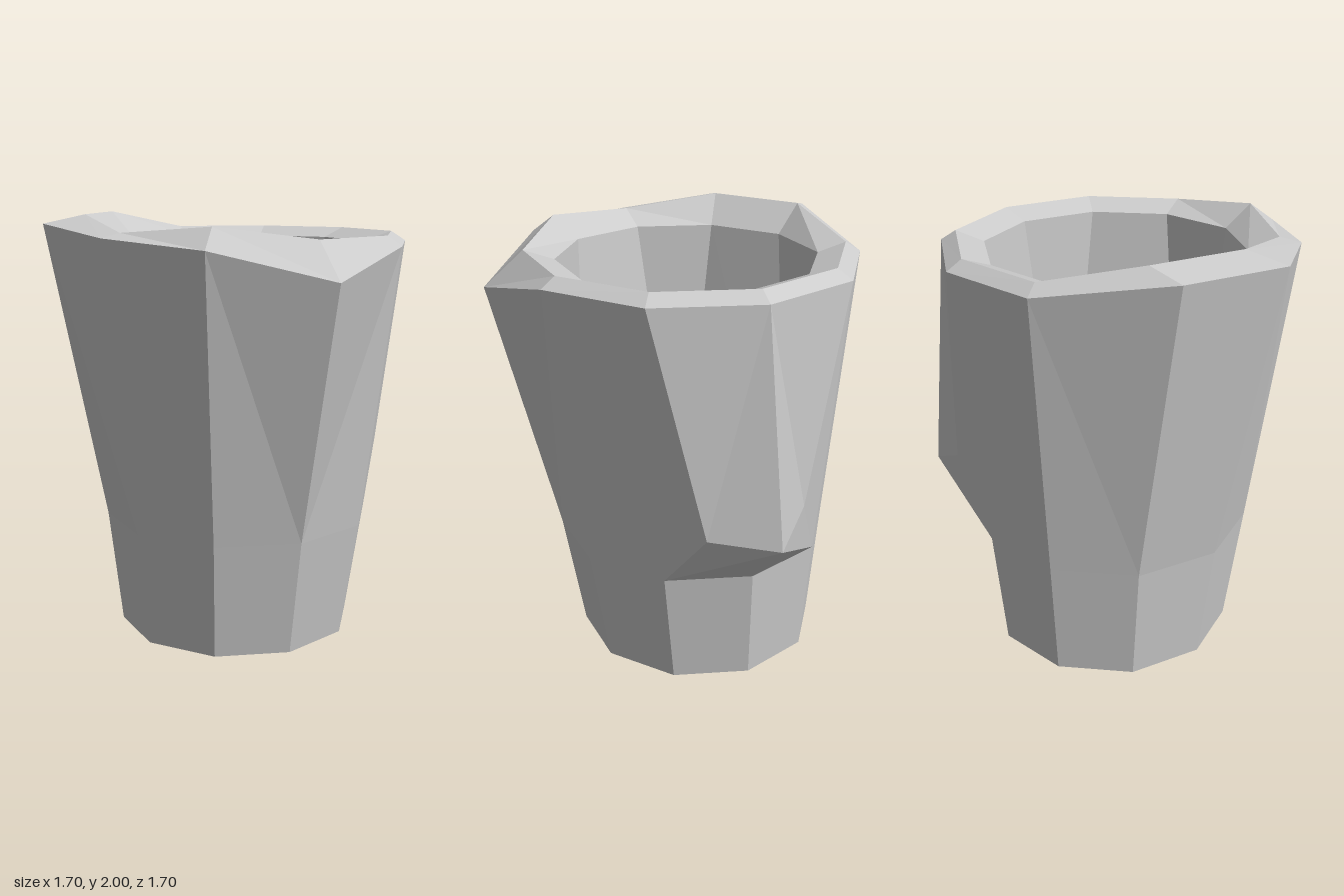
import * as THREE from 'three';

const SIDES = 10;
const CX = 0.034;

// Regular ten-sided ring; index 0 is the front corner, running towards +x
function ring(radius, zc, y) {
  return Array.from({ length: SIDES }, (_, i) => {
    const a = (i / SIDES) * Math.PI * 2;
    return [CX + radius * Math.sin(a), Array.isArray(y) ? y[i] : y, zc + radius * Math.cos(a)];
  });
}

// Fan of triangles over a polygon, corners counter-clockwise from its front
const fan = (...p) => p.slice(2).flatMap((c, i) => [p[0], p[i + 1], c]);

// One wall panel between two rings; the diagonal is mirrored on the far half
function panel(a, b, i) {
  const j = (i + 1) % SIDES;
  return i < SIDES / 2 ? fan(a[i], a[j], b[j], b[i]) : fan(a[j], b[j], b[i], a[i]);
}

const band = (a, b) => a.flatMap((_, i) => panel(a, b, i));

function part(name, corners) {
  const geometry = new THREE.BufferGeometry();
  geometry.setAttribute('position', new THREE.Float32BufferAttribute(corners.flat(), 3));
  geometry.computeVertexNormals();
  const material = new THREE.MeshStandardMaterial({ color: 0xcccccc, flatShading: true });
  const mesh = new THREE.Mesh(geometry, material);
  mesh.name = name;
  return mesh;
}

export function createModel() {
  const group = new THREE.Group();
  group.name = 'cup';

  // Cross-sections from the foot up to the inner lip
  const foot = ring(0.57, -0.12, 0);
  const waist = ring(0.642, -0.093, 0.56);
  const shoulder = [
    [0.03, 1.75, 0.85], [0.5, 1.87, 0.59], [0.79, 1.87, 0.19], [0.79, 1.87, -0.3], [0.5, 1.87, -0.7],
    [0.03, 1.87, -0.85], [-0.56, 1.96, -0.7], [-0.85, 1.96, -0.3], [-0.75, 1.915, 0.19], [-0.47, 1.88, 0.63],
  ];
  const crest = ring(0.725, -0.055, [1.915, 1.915, 1.915, 1.915, 1.915, 1.915, 2, 2, 1.935, 1.97]);
  const lip = ring(0.593, -0.06, 1.87);

  // Base and lower wall
  group.add(part('base', fan(...[...foot].reverse())));
  group.add(part('lowerWall', band(foot, waist)));

  // Upper wall, leaving two panels open for the bulge
  const upper = [];
  for (let i = 0; i < SIDES; i++) {
    if (i !== 2 && i !== 3) upper.push(...panel(waist, shoulder, i));
  }
  group.add(part('upperWall', upper));

  // Bulge on the side
  const front = [0.81, 0.84, -0.06];
  const peak = [0.845, 0.79, -0.38];
  const back = [0.64, 0.9, -0.51];
  const [, , w2, w3, w4] = waist;
  const [, , s2, s3, s4] = shoulder;
  group.add(part('sideBulge', [
    ...fan(w2, front, s2),
    ...fan(w2, w3, peak, front),
    ...fan(front, peak, s3, s2),
    ...fan(w3, w4, peak),
    ...fan(back, peak, w4, s4, s3, peak),
  ]));

  // Rim sloping up outside and down inside
  group.add(part('outerRim', band(shoulder, crest)));
  group.add(part('innerRim', band(crest, lip)));

  // Five-sided floor, each corner meeting two lip corners
  const floor = [[-0.12, 0.41], [0.46, 0.22], [0.46, -0.4], [-0.12, -0.6], [-0.5, -0.09]]
    .map(([x, z]) => [x, 0.24, z]);
  group.add(part('floor', fan(...floor)));
  const inside = floor.flatMap((p, k) => {
    const before = lip[(2 * k + SIDES - 1) % SIDES];
    const here = lip[2 * k];
    return [
      ...fan(p, before, here),
      ...fan(p, here, lip[2 * k + 1], floor[(k + 1) % 5]),
    ];
  });
  group.add(part('innerWall', inside));

  return group;
}
